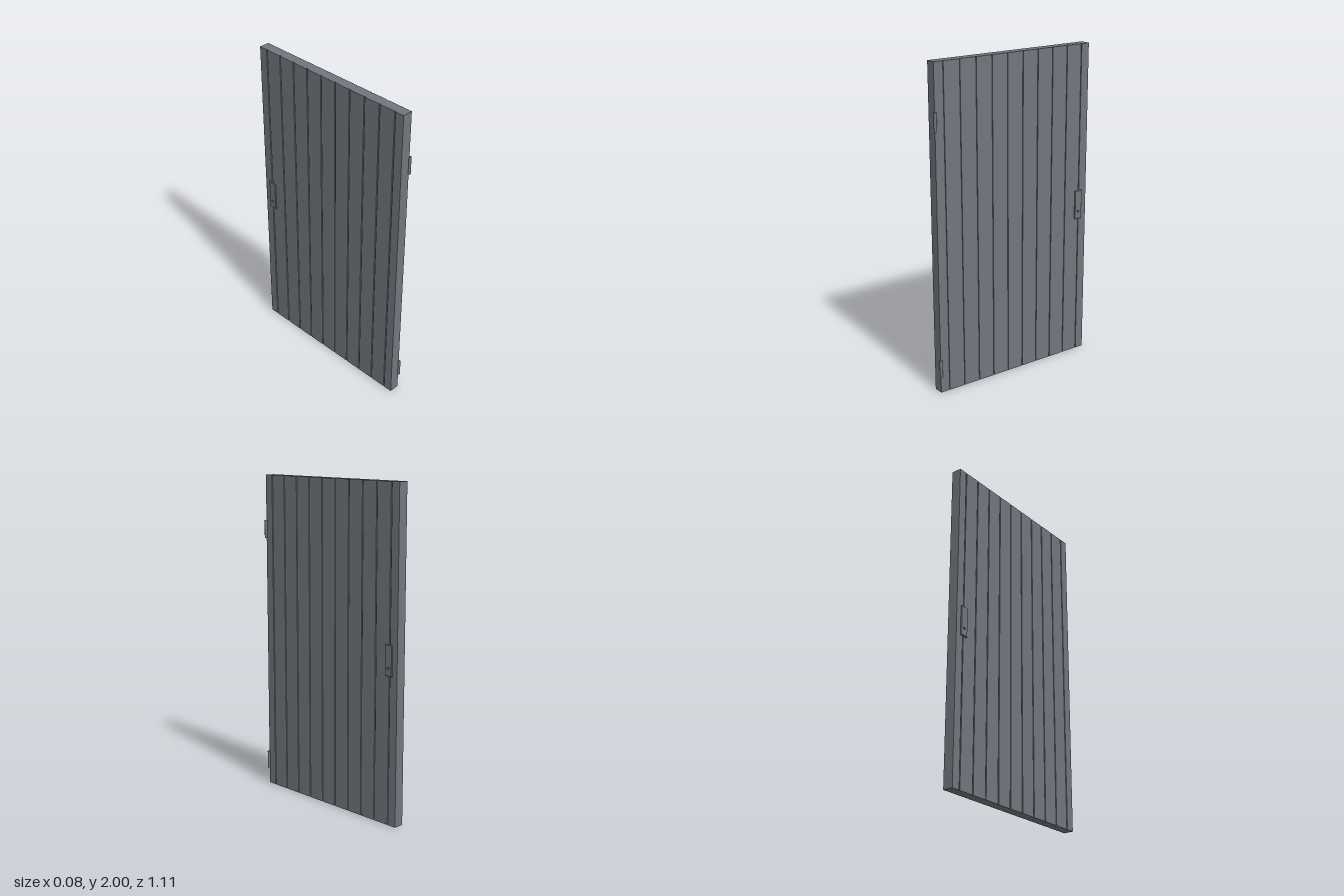
import * as THREE from 'three';

const X0 = -0.035, X1 = 0.028, Z0 = -0.555, Z1 = 0.546, HEIGHT = 2;

// Door leaf: plan outline with grooves on both faces, extruded upwards
function leafGeometry() {
  const half = 0.0035, depth = 0.006, first = -0.497, step = 0.1093, count = 10;
  const pts = [];
  const side = (x, inward, dir) => {
    for (let i = 0; i < count; i++) {
      const z = first + step * (dir > 0 ? i : count - 1 - i);
      const a = z - dir * half, b = z + dir * half;
      pts.push([x, a], [x + inward, a], [x + inward, b], [x, b]);
    }
  };
  pts.push([X0, Z0]);
  side(X0, depth, 1);
  pts.push([X0, Z1], [X1, Z1]);
  side(X1, -depth, -1);
  pts.push([X1, Z0]);
  const shape = new THREE.Shape(pts.map(([x, z]) => new THREE.Vector2(x, -z)));
  return new THREE.ExtrudeGeometry(shape, { depth: HEIGHT, bevelEnabled: false })
    .rotateX(-Math.PI / 2);
}

// Chamfered lock plate with a round keyhole, facing +z
function plateGeometry() {
  const bevel = 0.003, w = 0.027 - bevel, h = 0.0925 - bevel;
  const shape = new THREE.Shape([
    new THREE.Vector2(-w, -h), new THREE.Vector2(w, -h),
    new THREE.Vector2(w, h), new THREE.Vector2(-w, h),
  ]);
  const hole = new THREE.Path();
  hole.absarc(0, -0.045, 0.008, 0, Math.PI * 2, true);
  shape.holes.push(hole);
  return new THREE.ExtrudeGeometry(shape, {
    depth: 0.004, bevelEnabled: true, bevelThickness: bevel,
    bevelSize: bevel, bevelSegments: 1, curveSegments: 8,
  });
}

export function createModel() {
  const group = new THREE.Group();
  const steel = new THREE.MeshStandardMaterial({ color: 0x70777e });
  steel.name = 'grey steel';

  const add = (name, geometry, x, y, z) => {
    const mesh = new THREE.Mesh(geometry, steel);
    mesh.name = name;
    mesh.position.set(x, y, z);
    group.add(mesh);
    return mesh;
  };

  add('doorLeaf', leafGeometry(), 0, 0, 0);

  // Lock plates, the front chamfer ends 0.007 beyond the shape's depth
  const plate = plateGeometry();
  add('leftLockPlate', plate, 0.036 - 0.007, 0.9925, -0.493).rotation.y = Math.PI / 2;
  add('rightLockPlate', plate, -0.042 + 0.007, 0.9925, -0.493).rotation.y = -Math.PI / 2;

  // Hinge barrels on the hinge edge
  const barrel = new THREE.CylinderGeometry(0.009, 0.009, 0.11, 16);
  add('lowerHinge', barrel, 0.032, 0.16, Z1);
  add('upperHinge', barrel, 0.032, 1.665, Z1);

  return group;
}
